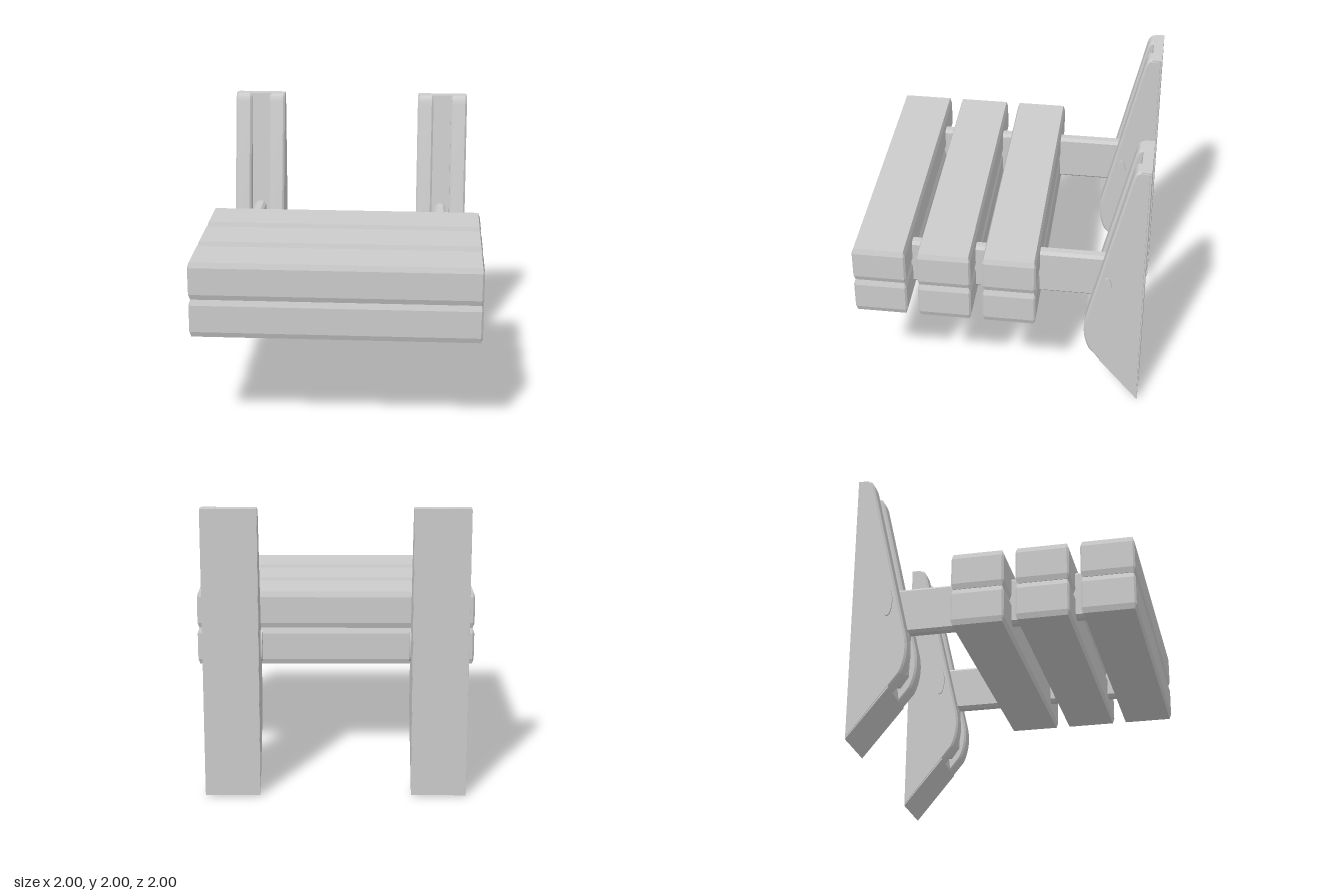
import * as THREE from 'three';
import { toCreasedNormals } from 'three/addons/utils/BufferGeometryUtils.js';
import { ConvexGeometry } from 'three/addons/geometries/ConvexGeometry.js';

const material = new THREE.MeshStandardMaterial({ color: 0xcccccc });

function addMesh(parent, name, geometry, x = 0, y = 0, z = 0) {
  const mesh = new THREE.Mesh(geometry, material);
  mesh.name = name;
  mesh.position.set(x, y, z);
  parent.add(mesh);
  return mesh;
}

// Box with chamfered edges, each chamfer sized per axis
function chamferBox(w, h, d, cx, cy, cz) {
  const points = [];
  for (const sx of [-1, 1]) for (const sy of [-1, 1]) for (const sz of [-1, 1]) {
    const x = w / 2, y = h / 2, z = d / 2;
    for (const p of [[x, y - cy, z - cz], [x - cx, y, z - cz], [x - cx, y - cy, z]]) {
      points.push(new THREE.Vector3(p[0] * sx, p[1] * sy, p[2] * sz));
    }
  }
  return new ConvexGeometry(points);
}

// Side outline in (z, y) extruded along x, centred on x = 0
function sidePanel(outline, width, bevel = 0) {
  const shape = outline instanceof THREE.Shape
    ? outline
    : new THREE.Shape(outline.map(([z, y]) => new THREE.Vector2(z, y)));
  const geometry = new THREE.ExtrudeGeometry(shape, {
    depth: width - 2 * bevel,
    bevelEnabled: bevel > 0,
    bevelThickness: bevel,
    bevelSize: bevel,
    bevelOffset: -bevel,
    bevelSegments: 1,
    curveSegments: 8,
  });
  geometry.translate(0, 0, -width / 2 + bevel);
  geometry.rotateY(-Math.PI / 2);
  return toCreasedNormals(geometry, 0.4);
}

// Tapered wall bracket outline with a rounded knee and top corner
function cheekOutline() {
  const s = new THREE.Shape();
  s.moveTo(-1, 0);
  s.lineTo(-0.635, 0.45);
  s.bezierCurveTo(-0.6, 0.53, -0.585, 0.62, -0.605, 0.73);
  s.lineTo(-0.88, 1.94);
  s.quadraticCurveTo(-0.895, 2, -0.925, 2);
  s.lineTo(-1, 2);
  s.closePath();
  return s;
}

function createBracket() {
  const bracket = new THREE.Group();
  // Two cheeks leave a slot between them
  for (const side of [-1, 1]) {
    addMesh(bracket, 'bracketCheek', sidePanel(cheekOutline(), 0.122, 0.014), side * 0.129);
  }
  // The core forms the slot floor and the flat back
  const core = [[-1, 0], [-0.715, 0.35], [-0.93, 1.999], [-1, 1.999]];
  addMesh(bracket, 'bracketCore', sidePanel(core, 0.376));

  // Arm with a tail that rests in the slot
  const arm = [
    [0.9, 0.82], [0.9, 1.165], [-0.79, 1.165], [-0.77, 0.8],
    [-0.71, 0.43], [-0.69, 0.43], [-0.635, 0.51], [-0.63, 0.82],
  ];
  addMesh(bracket, 'arm', sidePanel(arm.reverse(), 0.086, 0.02));

  // Oval pivot pin through cheeks and arm
  const pin = new THREE.CylinderGeometry(1, 1, 0.404, 32);
  pin.rotateZ(Math.PI / 2);
  pin.scale(1, 0.11, 0.036);
  addMesh(bracket, 'pivotPin', pin, 0, 1.0, -0.745);
  return bracket;
}

export function createModel() {
  const model = new THREE.Group();
  model.name = 'foldingWallSeat';

  // Seat planks: three rows, two layers
  const plank = chamferBox(2, 0.268, 0.37, 0.013, 0.038, 0.013);
  for (const z of [0.815, 0.367, -0.082]) {
    for (const y of [0.858, 1.128]) addMesh(model, 'seatPlank', plank, 0, y, z);
  }

  // Brackets mirrored left and right
  for (const side of [-1, 1]) {
    const bracket = createBracket();
    bracket.name = side > 0 ? 'leftBracket' : 'rightBracket';
    bracket.position.x = side * 0.707;
    model.add(bracket);
  }
  return model;
}
